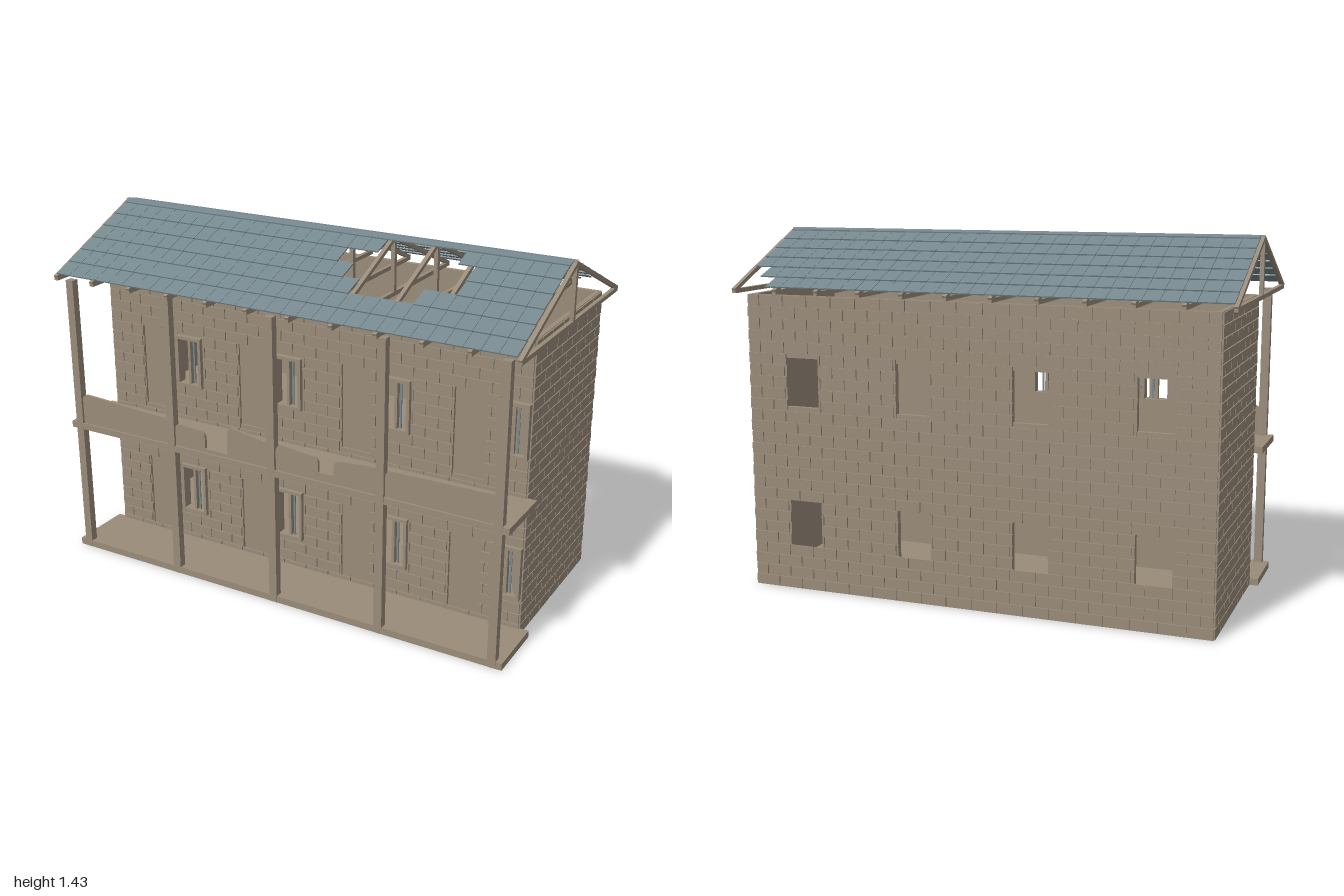
import * as THREE from 'three';
import { mergeGeometries } from 'three/addons/utils/BufferGeometryUtils.js';

const stone = new THREE.MeshStandardMaterial({ color: 0x998b79 });
stone.name = 'weathered stone and timber';
const slate = new THREE.MeshStandardMaterial({ color: 0x75888e });
slate.name = 'slate';

// Box given by its min and max corners
function span(x0, x1, y0, y1, z0, z1) {
  return new THREE.BoxGeometry(x1 - x0, y1 - y0, z1 - z0)
    .translate((x0 + x1) / 2, (y0 + y1) / 2, (z0 + z1) / 2);
}

// Beam in the yz plane, its centre line running from (z0, y0) to (z1, y1)
function beam(x, width, z0, y0, z1, y1, thick) {
  return new THREE.BoxGeometry(width, thick, Math.hypot(z1 - z0, y1 - y0))
    .rotateX(-Math.atan2(y1 - y0, z1 - z0))
    .translate(x, (y0 + y1) / 2, (z0 + z1) / 2);
}

const HALF = 0.94, TOP = 1.185, FRONT = 0.217, BACK = -0.467;
const bays = [0, 1, 2, 3].map((i) => -0.715 + 0.474 * i);
const storeys = [0, 0.575];

// Openings as [x0, x1, y0, y1]
const doors = [], windows = [], backWindows = [];
for (const x of bays) for (const y of storeys) {
  doors.push([x - 0.065, x + 0.065, y + 0.035, y + (y ? 0.4 : 0.37)]);
  windows.push([x + 0.112, x + 0.234, y + 0.157, y + 0.373]);
  backWindows.push([x - 0.07, x + 0.07, y + 0.17, y + 0.365]);
}

// Wall sheet in the xy plane with rectangular holes
function wall(openings) {
  const rect = (p, a, b, c, d) => p.moveTo(a, c).lineTo(b, c).lineTo(b, d).lineTo(a, d).closePath();
  const shape = rect(new THREE.Shape(), -HALF, HALF, 0, TOP);
  for (const o of openings) shape.holes.push(rect(new THREE.Path(), ...o));
  return new THREE.ExtrudeGeometry(shape, { depth: 0.02, bevelEnabled: false });
}

// Running-bond blocks on the xy plane, cut back at openings
function blocks(x0, x1, openings, rows = 26, length = 0.105) {
  const list = [], h = TOP / rows, gap = 0.004;
  for (let r = 0; r < rows; r++) {
    const y = r * h, mid = y + h / 2;
    const cuts = openings.filter((o) => mid > o[2] && mid < o[3]).sort((a, b) => a[0] - b[0]);
    let start = x0;
    const runs = [];
    for (const c of cuts) { runs.push([start, c[0]]); start = c[1]; }
    runs.push([start, x1]);
    for (let x = x0 - (r % 2) * length / 2; x < x1; x += length) {
      for (const [a, b] of runs) {
        const l = Math.max(x, a), e = Math.min(x + length, b) - (x + length < b ? gap : 0);
        if (e - l > 0.006) list.push(span(l, e, y + gap / 2, y + h - gap / 2, 0, 0.006));
      }
    }
  }
  return mergeGeometries(list);
}

export function createModel() {
  const model = new THREE.Group();
  const add = (name, parts, material = stone) => {
    const list = [].concat(parts);
    const mesh = new THREE.Mesh(list.length > 1 ? mergeGeometries(list) : list[0], material);
    mesh.name = name;
    model.add(mesh);
    return mesh;
  };

  // Shell: pierced long walls, solid gable-end walls, floors
  add('frontWall', wall([...doors, ...windows]).translate(0, 0, FRONT - 0.02));
  add('backWall', wall(backWindows).translate(0, 0, BACK));
  add('endWalls', [-1, 1].map((s) =>
    span(s * (HALF - 0.01) - 0.01, s * (HALF - 0.01) + 0.01, 0, TOP, BACK + 0.001, FRONT - 0.001)));
  add('groundFloor', span(-HALF, HALF, 0, 0.03, BACK, FRONT));
  add('upperFloor', span(-HALF + 0.01, HALF - 0.01, 0.55, 0.575, BACK + 0.01, FRONT - 0.01));

  // Raised masonry on all four sides
  add('frontBlocks', blocks(-HALF, HALF, [...doors, ...windows]).translate(0, 0, FRONT));
  const mirrored = backWindows.map(([a, b, c, d]) => [-b, -a, c, d]);
  add('backBlocks', blocks(-HALF, HALF, mirrored).rotateY(Math.PI).translate(0, 0, BACK));
  const mid = (FRONT + BACK) / 2, halfDepth = (FRONT - BACK) / 2;
  for (const s of [-1, 1]) {
    add('endBlocks', blocks(-halfDepth, halfDepth, []).rotateY(s * Math.PI / 2).translate(s * HALF, 0, mid));
  }

  // Doors set back in their openings
  add('doors', doors.map(([a, b, c, d]) => span(a, b, c, d, 0.2, 0.21)));

  // Projecting window frames, each with a mullion and a narrow glazing strip
  const frames = [], glass = [];
  for (const [a, b, c, d] of windows) {
    const t = 0.013, m = (a + b) / 2;
    frames.push(
      span(a, a + t, c, d, 0.198, 0.24), span(b - t, b, c, d, 0.198, 0.24),
      span(a + t, b - t, c, c + t, 0.198, 0.24), span(a + t, b - t, d - t, d, 0.198, 0.24),
      span(m - 0.006, m + 0.006, c + t, d - t, 0.21, 0.23));
    glass.push(span(m + 0.012, m + 0.02, c + t, d - t, 0.215, 0.22));
  }
  add('windowFrames', frames);
  add('windowGlazing', glass, slate);

  // Veranda floor, balcony and posts
  add('verandaFloor', span(-0.98, 0.98, 0, 0.028, 0.213, 0.473));
  add('balconyFloor', span(-0.98, 0.98, 0.55, 0.577, 0.213, 0.473));
  add('posts', [-2, -1, 0, 1, 2].map((i) =>
    span(i * 0.469 - 0.017, i * 0.469 + 0.017, 0, 1.19, 0.443, 0.474)));

  // Worn balcony boards: [x0, x1, top at left, top at right]
  const boards = [
    [-0.925, -0.487, 0.702, 0.685], [-0.455, -0.31, 0.672, 0.665], [-0.205, -0.018, 0.705, 0.685],
    [0.018, 0.205, 0.685, 0.672], [0.272, 0.452, 0.675, 0.685], [0.487, 0.925, 0.685, 0.69]];
  add('balconyBoards', boards.map(([a, b, l, r]) => {
    const c = 0.03;
    const s = new THREE.Shape().moveTo(a, 0.57).lineTo(b, 0.57).lineTo(b, r - c);
    s.quadraticCurveTo(b, r, b - c, r).lineTo(a + c, l).quadraticCurveTo(a, l, a, l - c);
    return new THREE.ExtrudeGeometry(s, { depth: 0.012, bevelEnabled: false, curveSegments: 4 })
      .translate(0, 0, 0.452);
  }));
  add('brokenBoards', [
    span(-0.31, -0.205, 0.57, 0.592, 0.452, 0.464), span(0.205, 0.272, 0.57, 0.61, 0.452, 0.464)]);

  // Twelve roof trusses
  const roofY = (z) => 1.425 - 0.44 * z;
  const trusses = [];
  for (let i = 0; i < 12; i++) {
    const x = -0.99 + 0.18 * i, w = 0.016;
    trusses.push(span(x - w / 2, x + w / 2, 1.188, 1.205, -0.49, 0.49),
      span(x - w / 2, x + w / 2, 1.205, 1.425, -0.009, 0.009));
    for (const s of [-1, 1]) trusses.push(beam(x, w, 0, 1.416, s * 0.49, roofY(0.49) - 0.01, 0.016));
  }
  add('roofTrusses', trusses);

  // Overlapping slates; missing ones are listed as row: [first, last]
  const missing = {
    front: { 0: [19, 23], 1: [17, 24], 2: [18, 24], 3: [19, 22] },
    back: { 4: [29, 29], 5: [28, 29] },
  };
  const pitch = 0.0655, depth = 0.0757;
  for (const [side, s] of [['front', 1], ['back', -1]]) {
    const tiles = [];
    for (let row = 0; row < 6; row++) {
      const up = 0.035 + depth * row - 0.01, low = 0.035 + depth * (row + 1);
      const [first, last] = missing[side][row] || [99, 99];
      for (let k = 0; k < 30; k++) {
        if (k >= first && k <= last) continue;
        tiles.push(beam(-0.985 + pitch * (k + 0.5), pitch - 0.0015,
          s * up, roofY(up), s * low, roofY(low) + 0.007, 0.005));
      }
    }
    add(side + 'RoofSlates', tiles, slate);
    // Shallow capping course along the ridge
    add(side + 'RidgeSlates', beam(0, 1.965, 0, 1.424, s * 0.04, 1.416, 0.005), slate);
  }
  return model;
}
